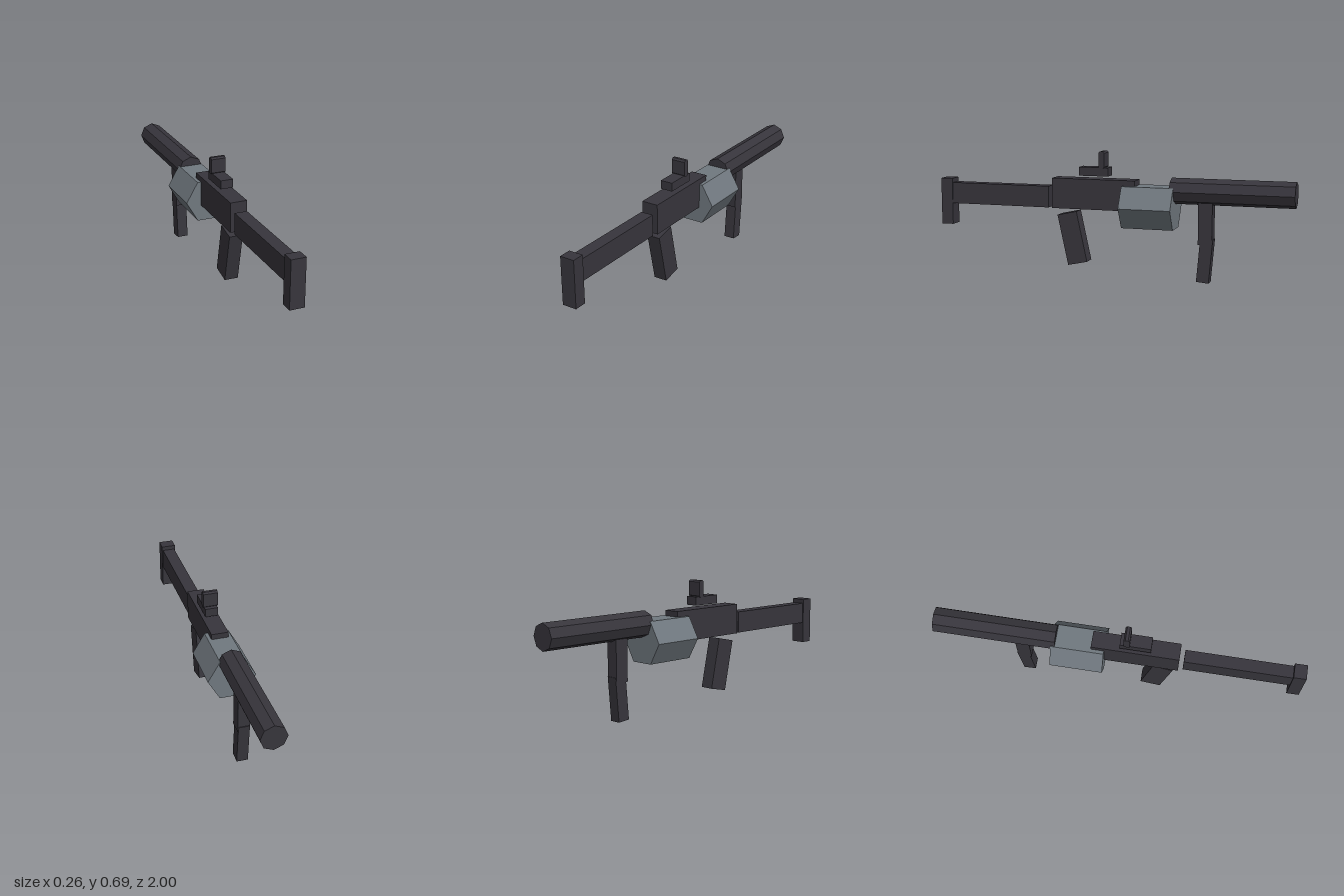
import * as THREE from 'three';

export function createModel() {
  const model = new THREE.Group();
  const dark = new THREE.MeshStandardMaterial({ name: 'darkMetal', color: 0x37353c, flatShading: true });
  const grey = new THREE.MeshStandardMaterial({ name: 'greyMetal', color: 0x70787f, flatShading: true });

  const add = (name, geometry, material, y, z, tilt = 0) => {
    const mesh = new THREE.Mesh(geometry, material);
    mesh.name = name;
    mesh.position.set(0, y, z);
    mesh.rotation.x = tilt;
    model.add(mesh);
  };
  // Box given by its width and its y and z ranges
  const block = (name, w, y0, y1, z0, z1) =>
    add(name, new THREE.BoxGeometry(w, y1 - y0, z1 - z0), dark, (y0 + y1) / 2, (z0 + z1) / 2);
  // Prism lying along z, with its first corner turned by the given angle
  const prism = (name, radius, sides, turn, material, y, z0, z1) => {
    const g = new THREE.CylinderGeometry(radius, radius, z1 - z0, sides);
    g.rotateY(turn).rotateX(Math.PI / 2);
    add(name, g, material, y, (z0 + z1) / 2);
  };

  // Stock and receiver
  block('buttPlate', 0.08, 0.253, 0.514, 0.932, 1);
  block('stock', 0.069, 0.372, 0.49, 0.352, 0.94);
  block('receiver', 0.093, 0.372, 0.538, -0.145, 0.327);

  // Drum and barrel
  prism('drum', 0.13, 6, Math.PI / 2, grey, 0.395, -0.36, -0.075);
  prism('barrel', 0.07, 8, 0, dark, 0.488, -1, -0.338);

  // Grips
  add('rearGrip', new THREE.BoxGeometry(0.076, 0.284, 0.112), dark, 0.207, 0.214, 0.215);
  block('foregripMount', 0.066, 0.207, 0.44, -0.566, -0.49);
  add('foregrip', new THREE.BoxGeometry(0.061, 0.235, 0.068), dark, 0.121, -0.526, -0.085);

  // Sight: a flat base and an upright plate with chamfered long edges
  block('sightBase', 0.07, 0.555, 0.602, 0.008, 0.174);
  const h = 0.0465, d = 0.0165, c = 0.009;
  const profile = new THREE.Shape([
    [-d, -h + c], [-d + c, -h], [d - c, -h], [d, -h + c],
    [d, h - c], [d - c, h], [-d + c, h], [-d, h - c],
  ].map(([x, y]) => new THREE.Vector2(x, y)));
  const plate = new THREE.ExtrudeGeometry(profile, { depth: 0.08, bevelEnabled: false });
  plate.translate(0, 0, -0.04).rotateY(Math.PI / 2);
  add('sightPlate', plate, dark, 0.6435, 0.045);

  return model;
}
